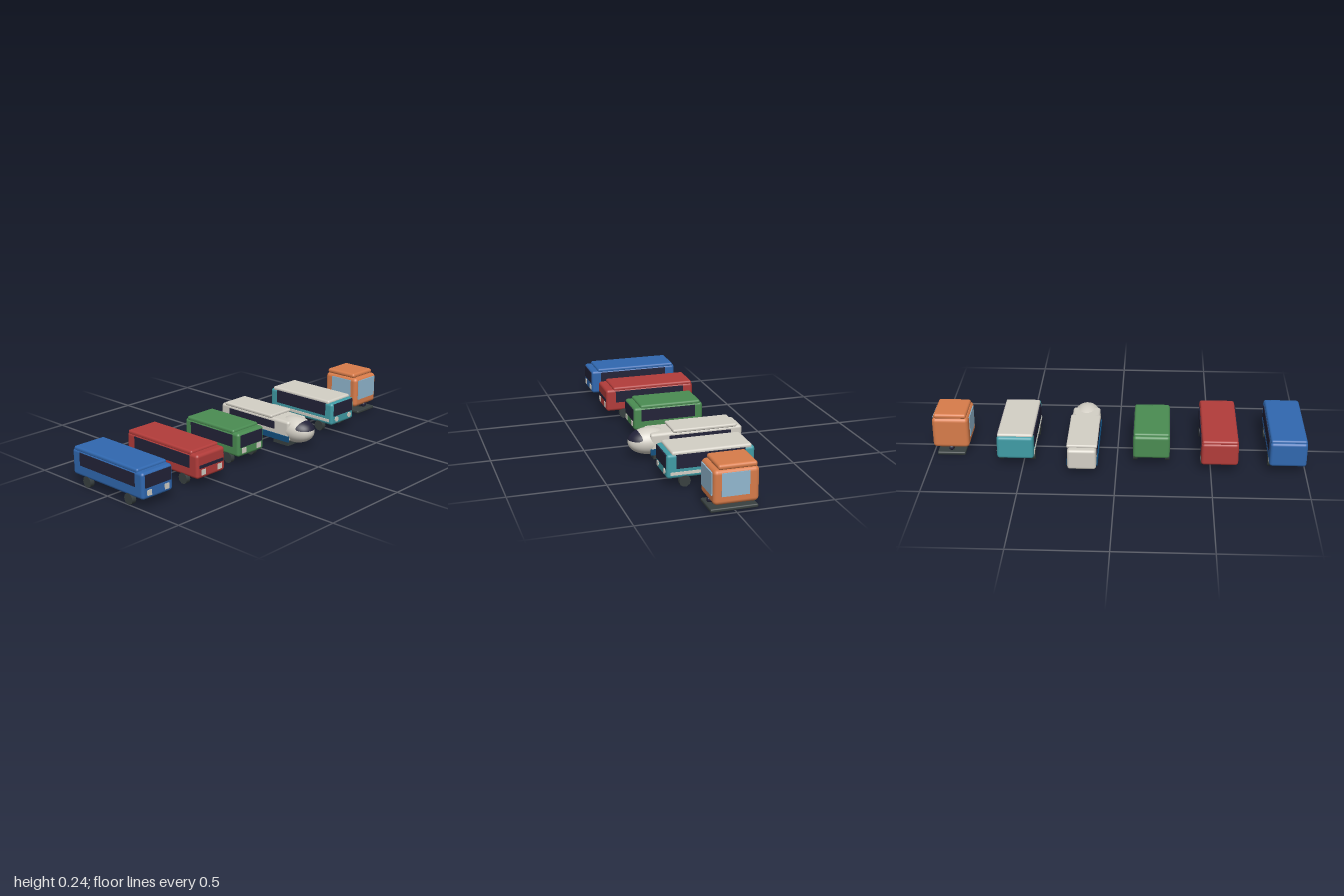
import * as THREE from 'three';
import { RoundedBoxGeometry } from 'three/addons/geometries/RoundedBoxGeometry.js';

const paint = (name, color) => {
  const m = new THREE.MeshStandardMaterial({ color });
  m.name = name;
  return m;
};

export function createModel() {
  const blue = paint('blue', 0x3068b0), red = paint('red', 0xb23c3a), green = paint('green', 0x4a8c52);
  const white = paint('warm white', 0xd4d0c6), teal = paint('teal', 0x409ca6), orange = paint('orange', 0xd87c4a);
  const dark = paint('dark glass', 0x222238), sky = paint('sky glass', 0x92b8d0);
  const navy = paint('navy', 0x125080), rubber = paint('rubber', 0x384040);

  const model = new THREE.Group();
  model.name = 'vehicleSet';

  const vehicle = (name, x) => {
    const g = new THREE.Group();
    g.name = name;
    g.position.x = x;
    model.add(g);
    return g;
  };
  const add = (parent, name, geometry, material, x, y, z) => {
    const m = new THREE.Mesh(geometry, material);
    m.name = name;
    m.position.set(x, y, z);
    parent.add(m);
    return m;
  };
  // Boxes are given by width and by their ranges in y and z
  const rounded = (p, name, mat, w, [y0, y1], [z0, z1], r) =>
    add(p, name, new RoundedBoxGeometry(w, y1 - y0, z1 - z0, 3, r), mat, 0, (y0 + y1) / 2, (z0 + z1) / 2);
  const box = (p, name, mat, w, [y0, y1], [z0, z1], x = 0) =>
    add(p, name, new THREE.BoxGeometry(w, y1 - y0, z1 - z0), mat, x, (y0 + y1) / 2, (z0 + z1) / 2);
  // A thin plate on both flanks
  const flanks = (p, name, mat, half, ys, zs, t = 0.006) => {
    for (const s of [-1, 1]) box(p, name, mat, t, ys, zs, s * half);
  };

  const wheelShape = new THREE.CylinderGeometry(0.03, 0.03, 0.024, 10).rotateZ(Math.PI / 2);
  const lampShape = new THREE.CylinderGeometry(0.015, 0.015, 0.008, 16).rotateX(Math.PI / 2);

  function bus(name, o) {
    const g = vehicle(name, o.x), W = 0.195, [z0, z1] = o.length;
    rounded(g, 'body', o.paint, W, [0.048, o.top], o.length, 0.016);
    rounded(g, 'roof', o.roofPaint ?? o.paint, o.roofWidth ?? 0.19, [o.top - 0.012, o.top + 0.013], o.roof, 0.011);
    flanks(g, 'sideWindows', dark, W / 2, o.windows, [z0 * 0.77, z1 * 0.79]);
    box(g, 'windscreen', dark, 0.163, o.screen, [z1 - 0.004, z1 + 0.003]);
    for (const s of [-1, 1]) {
      if (o.roundLamps) add(g, 'headlight', lampShape, white, s * 0.056, 0.08, z1);
      else box(g, 'headlight', white, 0.028, [0.067, 0.095], [z1 - 0.004, z1 + 0.004], s * 0.056);
      for (const e of [z0, z1]) add(g, 'wheel', wheelShape, rubber, s * 0.086, 0.03, e * 0.595);
    }
    return g;
  }

  bus('blueBus', { x: -0.9025, paint: blue, top: 0.185, length: [-0.26, 0.26], roof: [-0.25, 0.222],
    windows: [0.107, 0.174], screen: [0.108, 0.174] });
  bus('redBus', { x: -0.545, paint: red, top: 0.176, length: [-0.26, 0.26], roof: [-0.255, 0.217],
    windows: [0.1, 0.165], screen: [0.104, 0.12] });
  bus('greenBus', { x: -0.185, paint: green, top: 0.177, length: [-0.2, 0.195], roof: [-0.187, 0.157],
    windows: [0.1, 0.165], screen: [0.1, 0.166] });
  const tealBus = bus('tealBus', { x: 0.5375, paint: teal, roofPaint: white, top: 0.175, length: [-0.23, 0.23],
    roof: [-0.215, 0.203], windows: [0.1, 0.172], screen: [0.1, 0.17], roundLamps: true });
  flanks(tealBus, 'sideStripe', white, 0.0975, [0.067, 0.083], [-0.205, 0.212]);

  // Bullet train
  const train = vehicle('bulletTrain', 0.18);
  rounded(train, 'body', white, 0.152, [0.033, 0.147], [-0.305, 0.2], 0.015);
  rounded(train, 'roof', white, 0.162, [0.142, 0.161], [-0.272, 0.08], 0.008);
  flanks(train, 'skirt', navy, 0.077, [0.033, 0.065], [-0.255, 0.203], 0.009);
  flanks(train, 'sideWindows', dark, 0.076, [0.088, 0.13], [-0.24, 0.1]);
  for (const zs of [[-0.207, -0.1], [0.075, 0.18]]) box(train, 'bogie', rubber, 0.11, [0, 0.036], zs);

  const noseSize = new THREE.Vector3(0.077, 0.071, 0.115);
  const noseShape = new THREE.SphereGeometry(1, 32, 20).scale(...noseSize.toArray());
  add(train, 'nose', noseShape, white, 0, 0.089, 0.19);

  // Curved cab window: a disc wrapped onto the nose
  const cab = new THREE.RingGeometry(0, 1, 32, 8);
  const pos = cab.attributes.position, tilt = new THREE.Vector3(1, 0, 0);
  for (let i = 0; i < pos.count; i++) {
    const v = new THREE.Vector3(pos.getX(i) * 1.5, pos.getY(i) * 0.42, 1).normalize();
    v.applyAxisAngle(tilt, -0.61).multiply(noseSize).multiplyScalar(1.02);
    pos.setXYZ(i, v.x, v.y, v.z);
  }
  cab.computeVertexNormals();
  add(train, 'cabWindow', cab, dark, 0, 0.089, 0.19);

  // Cabin on a ground plate
  const cabin = vehicle('cabin', 0.9);
  rounded(cabin, 'body', orange, 0.196, [0.042, 0.218], [-0.113, 0.115], 0.022);
  rounded(cabin, 'roof', orange, 0.176, [0.213, 0.241], [-0.106, 0.09], 0.013);
  flanks(cabin, 'sideWindow', sky, 0.098, [0.087, 0.204], [-0.062, 0.077]);
  box(cabin, 'frontWindow', sky, 0.15, [0.088, 0.203], [0.112, 0.12]);
  rounded(cabin, 'keel', dark, 0.026, [0.026, 0.052], [-0.113, 0.116], 0.01);
  box(cabin, 'post', rubber, 0.02, [0.014, 0.032], [-0.09, 0.09]);
  rounded(cabin, 'groundPlate', rubber, 0.152, [0, 0.019], [-0.118, 0.122], 0.007);

  return model;
}
